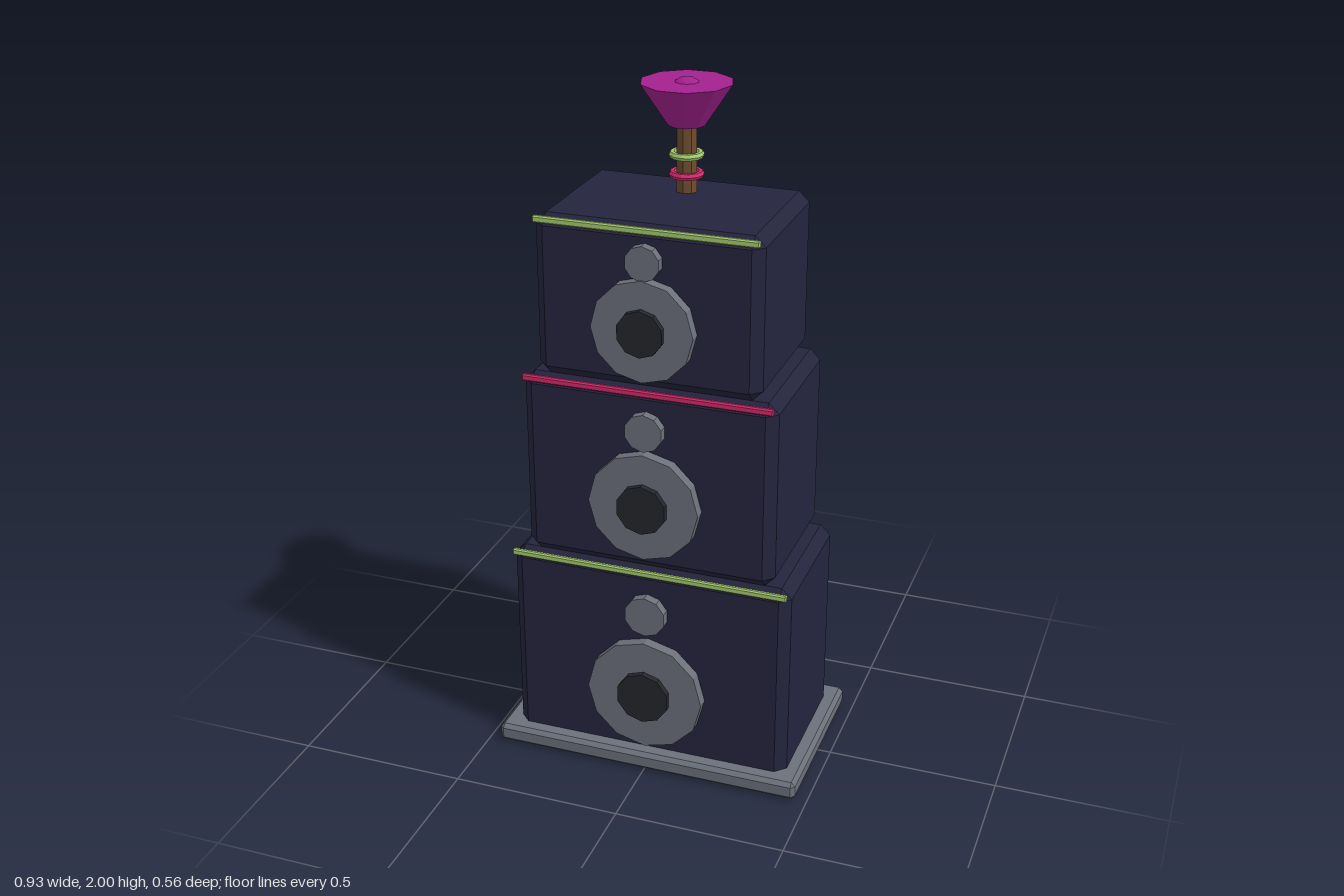
import * as THREE from 'three';
import { ConvexGeometry } from 'three/addons/geometries/ConvexGeometry.js';

const mat = (name, color) => {
  const m = new THREE.MeshStandardMaterial({ color });
  m.name = name;
  return m;
};

// Box with flat 45 degree chamfers on every edge
function chamferBox(w, h, d, c) {
  const pts = [];
  for (const sx of [-1, 1]) for (const sy of [-1, 1]) for (const sz of [-1, 1]) {
    const x = w / 2, y = h / 2, z = d / 2;
    pts.push(new THREE.Vector3(sx * x, sy * (y - c), sz * (z - c)));
    pts.push(new THREE.Vector3(sx * (x - c), sy * y, sz * (z - c)));
    pts.push(new THREE.Vector3(sx * (x - c), sy * (y - c), sz * z));
  }
  return new ConvexGeometry(pts);
}

// Flat-sided geometry
function faceted(geo) {
  const g = geo.toNonIndexed();
  g.computeVertexNormals();
  return g;
}

export function createModel() {
  const model = new THREE.Group();
  const navy = mat('navy cabinet', 0x24243e);
  const grey = mat('grey', 0x6c707b);
  const black = mat('black cone', 0x24262b);
  const green = mat('green trim', 0xa3cb6e);
  const red = mat('red trim', 0xd62a6c);
  const brown = mat('brown mast', 0x6e4c2f);
  const magenta = mat('magenta horn', 0xa3218f);

  const add = (name, geo, material, x, y, z, parent = model) => {
    const mesh = new THREE.Mesh(geo, material);
    mesh.name = name;
    mesh.position.set(x, y, z);
    parent.add(mesh);
    return mesh;
  };
  // Disc facing the front, from z0 to z1
  const disc = (name, r, sides, y, z0, z1, material, parent) => {
    const geo = new THREE.CylinderGeometry(r, r, z1 - z0, sides);
    geo.rotateX(Math.PI / 2);
    add(name, faceted(geo), material, 0, y, (z0 + z1) / 2, parent);
  };

  // Plinth
  add('base', chamferBox(0.93, 0.056, 0.555, 0.012), grey, 0, 0.029, -0.002);

  // Three stacked speaker cabinets
  const cabinets = [
    { name: 'lowerSpeaker', x: 0.42, y0: 0, y1: 0.655, woofer: [0.255, 0.175], cone: 0.08, tweeter: [0.515, 0.062], trim: green },
    { name: 'middleSpeaker', x: 0.37, y0: 0.655, y1: 1.215, woofer: [0.87, 0.162], cone: 0.074, tweeter: [1.095, 0.056], trim: red },
    { name: 'upperSpeaker', x: 0.323, y0: 1.215, y1: 1.68, woofer: [1.395, 0.146], cone: 0.067, tweeter: [1.585, 0.05], trim: green },
  ];
  for (const c of cabinets) {
    const g = new THREE.Group();
    g.name = c.name;
    model.add(g);
    add('cabinet', chamferBox(c.x * 2, c.y1 - c.y0, 0.465, 0.03), navy, 0, (c.y0 + c.y1) / 2, -0.003, g);
    disc('woofer', c.woofer[1], 12, c.woofer[0], 0.22, 0.263, grey, g);
    disc('wooferCone', c.cone, 10, c.woofer[0], 0.24, 0.281, black, g);
    disc('tweeter', c.tweeter[1], 10, c.tweeter[0], 0.22, 0.257, grey, g);
    add('trimStrip', chamferBox(c.x * 2 - 0.01, 0.02, 0.015, 0.004), c.trim, 0, c.y1 - 0.011, 0.233, g);
  }

  // Mast with rings and horn
  const mast = new THREE.Group();
  mast.name = 'hornMast';
  mast.position.z = -0.1;
  model.add(mast);
  add('pole', faceted(new THREE.CylinderGeometry(0.03, 0.03, 0.26, 8)), brown, 0, 1.78, 0, mast);
  for (const [name, y, m] of [['lowerRing', 1.73, red], ['upperRing', 1.785, green]]) {
    const ring = new THREE.TorusGeometry(0.04, 0.01, 6, 12);
    ring.rotateX(Math.PI / 2);
    add(name, faceted(ring), m, 0, y, 0, mast);
  }
  const horn = new THREE.CylinderGeometry(0.13, 0.052, 0.118, 10);
  horn.rotateY(Math.PI / 2);
  add('horn', faceted(horn), magenta, 0, 1.927, 0, mast);
  const dome = new THREE.SphereGeometry(0.048, 10, 8);
  add('hornDome', dome, magenta, 0, 1.952, 0, mast);

  return model;
}
